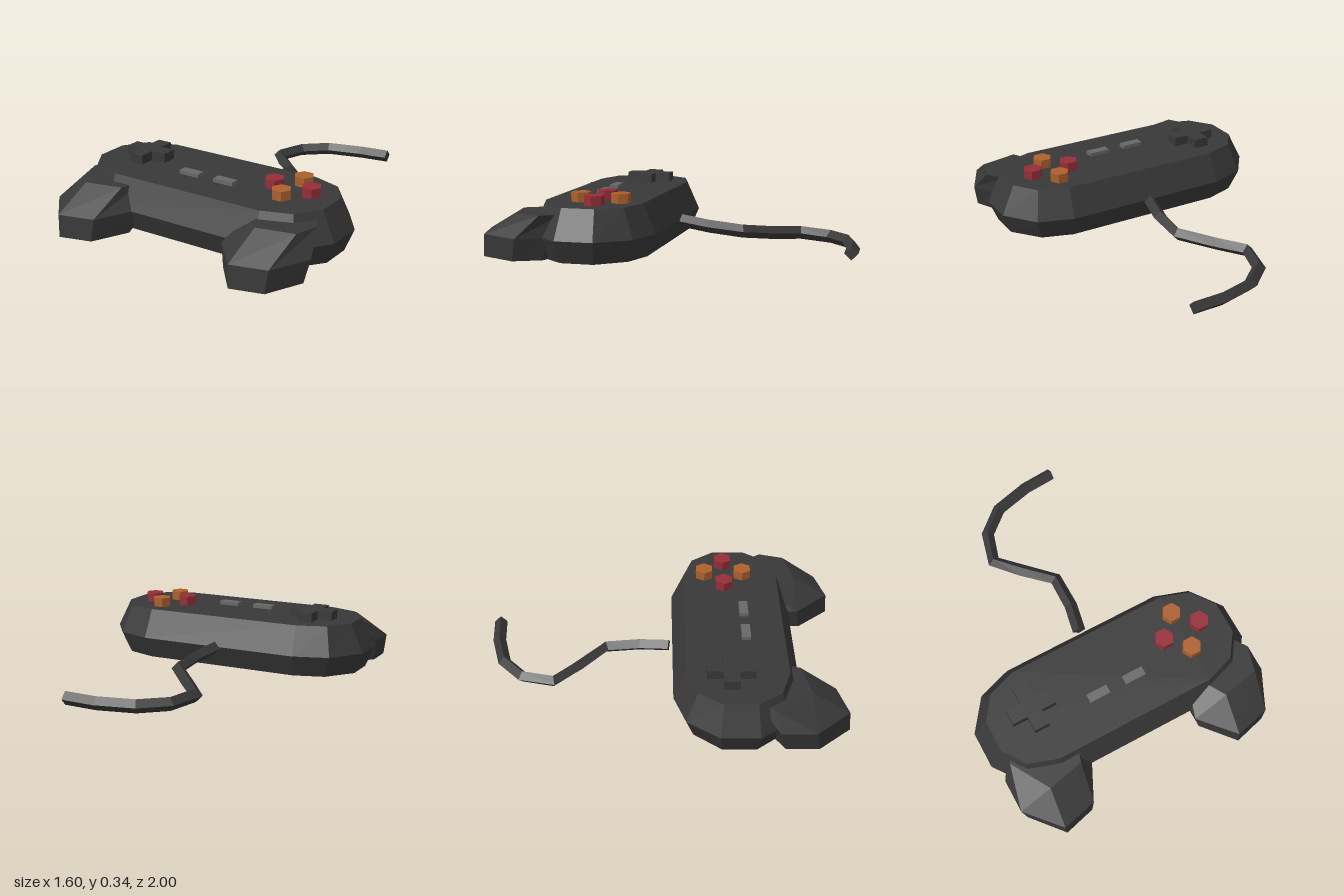
import * as THREE from 'three';

const material = (name, color) => {
  const m = new THREE.MeshStandardMaterial({ color });
  m.name = name;
  return m;
};

// Flat-faced skin over rings of [x, y, z] points, closed at both ends
function loft(rings) {
  const pos = [];
  const tri = (...pts) => pts.forEach((p) => pos.push(...p));
  const n = rings[0].length;
  for (let r = 0; r < rings.length - 1; r++) {
    const a = rings[r], b = rings[r + 1];
    for (let i = 0; i < n; i++) {
      const j = (i + 1) % n;
      tri(a[i], a[j], b[j]);
      tri(a[i], b[j], b[i]);
    }
  }
  const first = rings[0], last = rings[rings.length - 1];
  for (let i = 1; i < n - 1; i++) {
    tri(first[0], first[i + 1], first[i]);
    tri(last[0], last[i], last[i + 1]);
  }
  const g = new THREE.BufferGeometry();
  g.setAttribute('position', new THREE.Float32BufferAttribute(pos, 3));
  g.computeVertexNormals();
  return g;
}

export function createModel() {
  const group = new THREE.Group();
  const dark = material('charcoal plastic', 0x383838);
  const red = material('red plastic', 0x962d37);
  const orange = material('orange plastic', 0xad602c);
  const grey = material('grey rubber', 0x68686a);

  const add = (name, geometry, mat, x = 0, y = 0, z = 0) => {
    const mesh = new THREE.Mesh(geometry, mat);
    mesh.name = name;
    mesh.position.set(x, y, z);
    group.add(mesh);
    return mesh;
  };

  // Body: twelve-sided outline, widest at the seam, mirrored in x and z
  const outline = (y, corner) => {
    const front = corner.map(([x, z]) => [x, y, 0.4 + z]);
    const back = corner.map(([x, z]) => [x, y, 0.4 - z]).reverse();
    const right = [...front, ...back];
    const left = right.map(([x, h, z]) => [-x, h, z]).reverse();
    return [...right, ...left];
  };
  add('body', loft([
    outline(0, [[0.46, 0.295], [0.63, 0.24], [0.75, 0.09]]),
    outline(0.123, [[0.475, 0.345], [0.67, 0.28], [0.8, 0.105]]),
    outline(0.285, [[0.465, 0.275], [0.63, 0.22], [0.722, 0.09]]),
  ]), dark);

  // Grips: the same seven-sided lump, leaning back into the body
  const middle = [[-0.6, 0.99], [-0.4, 0.94], [-0.295, 0.725], [-0.37, 0.57],
    [-0.58, 0.5], [-0.77, 0.61], [-0.77, 0.8]];
  const top = [[-0.58, 0.785], [-0.37, 0.74], [-0.33, 0.6], [-0.4, 0.5],
    [-0.58, 0.45], [-0.69, 0.5], [-0.71, 0.565]];
  const bottom = middle.map(([x, z]) => [-0.54 + (x + 0.54) * 0.9, 0.75 + (z - 0.75) * 0.94 + 0.024]);
  const level = (pts, y) => pts.map(([x, z]) => [x, y, z]);
  const gripGeometry = loft([level(bottom, 0), level(middle, 0.123), level(top, 0.245)]);
  add('rightGrip', gripGeometry, dark);
  add('leftGrip', gripGeometry, dark, 1.09);

  // Direction pad: extruded cross
  const a = 0.043, b = 0.13;
  const cross = new THREE.Shape([[a, -b], [a, -a], [b, -a], [b, a], [a, a], [a, b],
    [-a, b], [-a, a], [-b, a], [-b, -a], [-a, -a], [-a, -b]].map((p) => new THREE.Vector2(...p)));
  const pad = new THREE.ExtrudeGeometry(cross, { depth: 0.06, bevelEnabled: false });
  pad.rotateX(-Math.PI / 2);
  add('directionPad', pad, dark, -0.472, 0.277, 0.36);

  // Four hexagonal action buttons, points facing sideways
  const hex = new THREE.CylinderGeometry(0.055, 0.055, 0.06, 6).toNonIndexed();
  hex.rotateY(Math.PI / 6 + Math.PI / 3);
  hex.computeVertexNormals();
  [['backButton', 0, -1, orange], ['frontButton', 0, 1, orange],
    ['rightButton', -1, 0, red], ['leftButton', 1, 0, red]].forEach(([name, x, z, mat]) =>
    add(name, hex, mat, 0.465 + x * 0.112, 0.307, 0.36 + z * 0.112));

  // Small centre buttons
  for (const [name, x] of [['rightMenuButton', -0.113], ['leftMenuButton', 0.108]]) {
    add(name, new THREE.BoxGeometry(0.122, 0.03, 0.05), grey, x, 0.291, 0.461);
  }

  // Cable: diamond section swept along a kinked path
  const path = [[-0.003, 0.122, 0.035], [0.032, 0.102, -0.13], [0.036, 0.083, -0.325],
    [-0.11, 0.056, -0.48], [-0.228, 0.043, -0.612], [-0.178, 0.037, -0.79],
    [-0.045, 0.037, -0.905], [0.16, 0.038, -0.955], [0.34, 0.044, -0.965]]
    .map((p) => new THREE.Vector3(...p));
  const up = new THREE.Vector3(0, 1, 0);
  const sections = path.map((p, i) => {
    const before = p.clone().sub(path[Math.max(i - 1, 0)]).setY(0).normalize();
    const after = path[Math.min(i + 1, path.length - 1)].clone().sub(p).setY(0).normalize();
    const t = before.add(after).normalize();
    const side = up.clone().cross(t);
    return [[side, 1], [up, 1], [side, -1], [up, -1]]
      .map(([d, s]) => p.clone().addScaledVector(d, s * 0.037).toArray());
  });
  add('cable', loft(sections), dark);

  return group;
}
